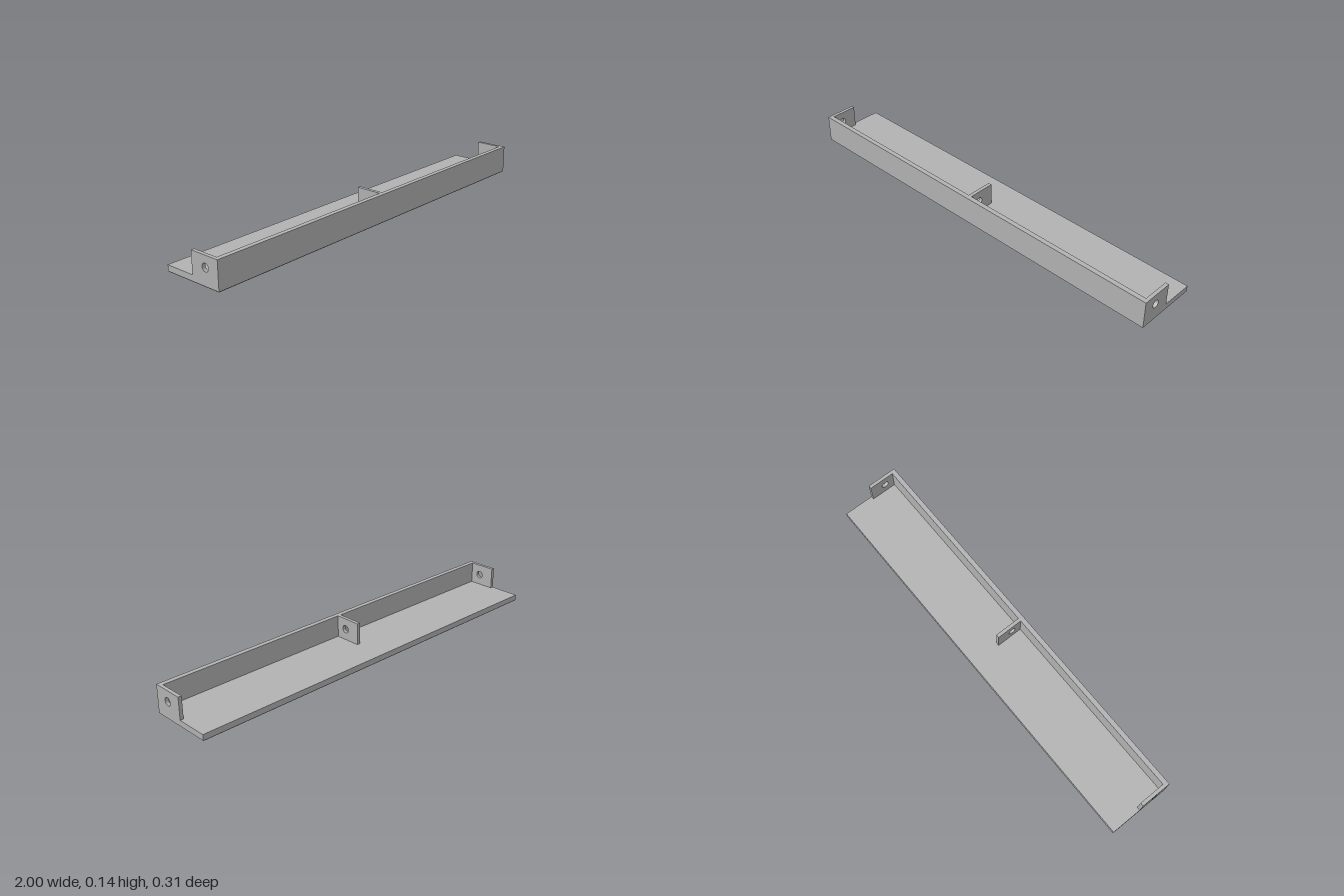
import * as THREE from 'three';

const HALF_X = 1, HALF_Z = 0.153, TOP = 0.138, FLOOR = 0.032, CHAMFER = 0.004;
const WALL_BACK = 0.13; // inner face of the front wall

export function createModel() {
  const group = new THREE.Group();
  const grey = new THREE.MeshStandardMaterial({ color: 0xb2b2b2 });
  grey.name = 'plain grey';

  const add = (name, geometry) => {
    const mesh = new THREE.Mesh(geometry, grey);
    mesh.name = name;
    group.add(mesh);
    return mesh;
  };

  // Extrudes a (z, y) outline along x, between x0 and x1
  const extrudeX = (shape, x0, x1) => new THREE.ExtrudeGeometry(shape, {
    depth: x1 - x0, bevelEnabled: false, curveSegments: 32,
  }).rotateY(-Math.PI / 2).translate(x1, 0, 0);

  // Shelf and front wall share one L-shaped section
  const section = new THREE.Shape([
    [-HALF_Z, CHAMFER], [HALF_Z, CHAMFER], [HALF_Z, TOP],
    [WALL_BACK, TOP], [WALL_BACK, FLOOR], [-HALF_Z, FLOOR],
  ].map(([z, y]) => new THREE.Vector2(z, y)));
  add('shelfAndFrontWall', extrudeX(section, -HALF_X, HALF_X));

  // Chamfered underside: a thin slab with its bottom edges drawn in
  const underside = new THREE.BoxGeometry(2 * HALF_X, CHAMFER, 2 * HALF_Z);
  const p = underside.attributes.position;
  for (let i = 0; i < p.count; i++) {
    if (p.getY(i) < 0) {
      p.setX(i, p.getX(i) - Math.sign(p.getX(i)) * CHAMFER);
      p.setZ(i, p.getZ(i) - Math.sign(p.getZ(i)) * CHAMFER);
    }
  }
  underside.computeVertexNormals();
  add('chamferedUnderside', underside.translate(0, CHAMFER / 2, 0));

  // Three upright brackets with a round hole
  const plate = new THREE.Shape([
    [0, FLOOR], [WALL_BACK, FLOOR], [WALL_BACK, TOP], [0, TOP],
  ].map(([z, y]) => new THREE.Vector2(z, y)));
  plate.holes.push(new THREE.Path().absarc(0.08, 0.085, 0.0185, 0, Math.PI * 2, true));
  const brackets = [['rightBracket', -1, -0.983], ['middleBracket', -0.0085, 0.0085], ['leftBracket', 0.983, 1]];
  for (const [name, x0, x1] of brackets) add(name, extrudeX(plate, x0, x1));

  return group;
}
